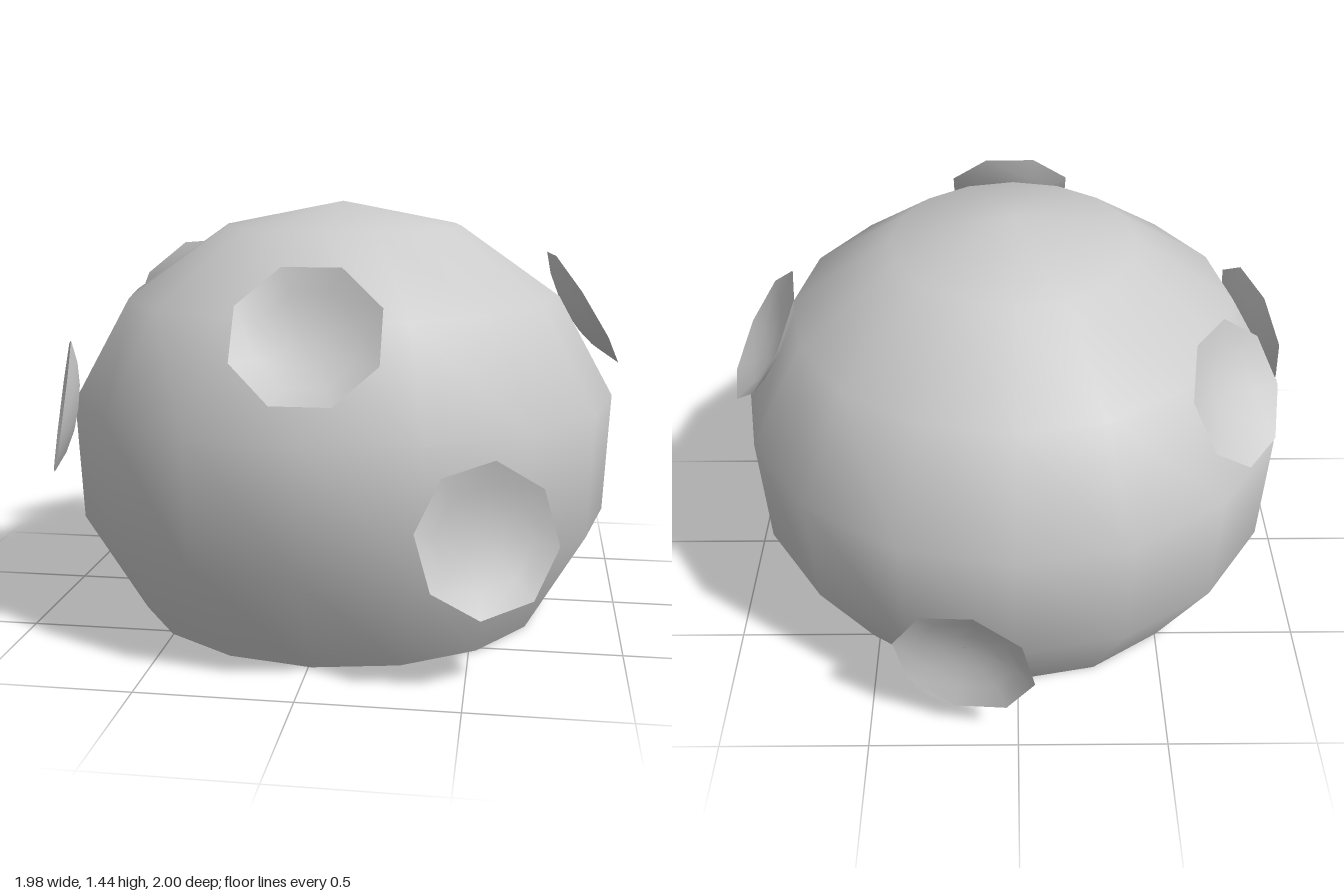
import * as THREE from 'three';
import { mergeVertices } from 'three/addons/utils/BufferGeometryUtils.js';

// Lathe with shared vertices, so the seam and the pole shade smoothly
function smoothLathe(profile, sides) {
  const lathe = new THREE.LatheGeometry(profile.map(([r, y]) => new THREE.Vector2(r, y)), sides);
  lathe.deleteAttribute('uv');
  lathe.deleteAttribute('normal');
  const geometry = mergeVertices(lathe, 1e-4);
  geometry.computeVertexNormals();
  return geometry;
}

export function createModel() {
  const model = new THREE.Group();
  const shell = new THREE.MeshStandardMaterial({ color: 0xcccccc, side: THREE.DoubleSide });
  const add = (name, geometry) => {
    const mesh = new THREE.Mesh(geometry, shell);
    mesh.name = name;
    model.add(mesh);
    return mesh;
  };

  // Rounded 16-sided dome shell, open at the bottom
  const domeProfile = [[0.727, 0], [0.934, 0.355], [0.953, 0.77], [0.76, 1.116], [0.415, 1.357], [0, 1.44]];
  add('body', smoothLathe(domeProfile, 16)).position.set(0.01, 0, 0.01);

  // Shallow eight-sided bowls: rim centre, facing direction, twist in degrees
  const bowlProfile = [[0, -0.055], [0.085, -0.049], [0.165, -0.031], [0.24, 0]];
  const cups = [
    ['frontCup', [0.022, 1.09, 0.883], [0.01, 0.534, 0.847], 22.5],
    ['lowerFrontLeftCup', [0.563, 0.479, 0.841], [0.437, 0.2, 0.877], -10],
    ['upperLeftCup', [0.856, 1.064, -0.125], [0.84, 0.525, -0.135], 22.5],
    ['rightCup', [-0.905, 0.757, 0.41], [-0.925, 0.164, 0.342], -11],
    ['upperBackRightCup', [-0.7, 1.07, -0.477], [-0.71, 0.51, -0.487], 22.5],
    ['lowerBackCup', [0.177, 0.335, -0.944], [0.23, -0.086, -0.97], -10],
  ];
  for (const [name, centre, facing, twist] of cups) {
    const geometry = smoothLathe(bowlProfile, 8)
      .rotateX(Math.PI / 2)
      .rotateZ(THREE.MathUtils.degToRad(twist));
    const cup = add(name, geometry);
    cup.position.set(...centre);
    cup.lookAt(new THREE.Vector3(...facing).add(cup.position));
  }
  return model;
}
